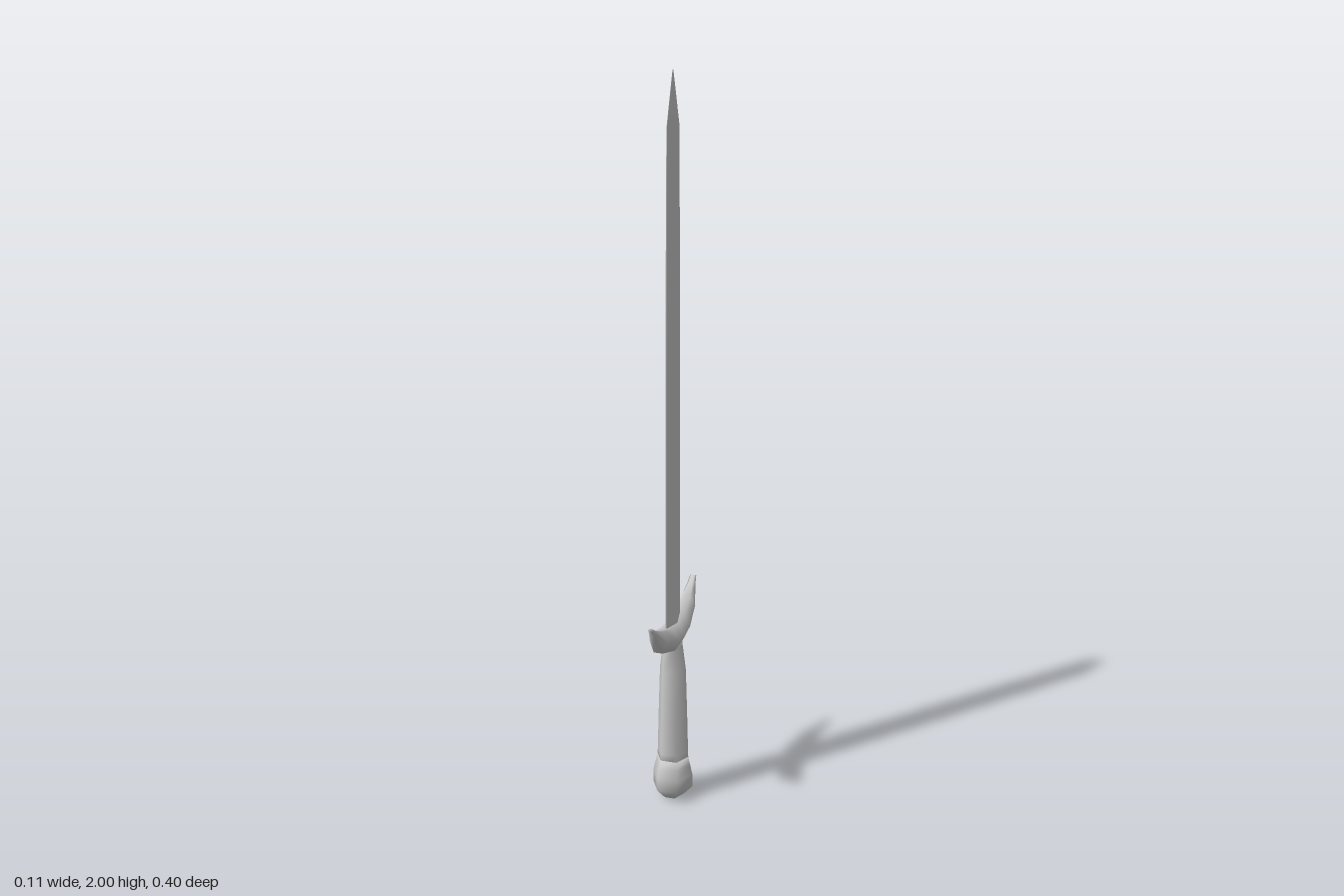
import * as THREE from 'three';

const material = new THREE.MeshStandardMaterial({ color: 0xcccccc });

// Skin a list of equal-sized rings (counter-clockwise seen from the far end) and cap both ends.
function loft(name, rings) {
  const n = rings[0].length;
  const points = rings.flat();
  const index = [];
  for (let r = 0; r < rings.length - 1; r++) {
    for (let i = 0; i < n; i++) {
      const a = r * n + i, b = r * n + (i + 1) % n;
      index.push(a, b, b + n, a, b + n, a + n);
    }
  }
  const last = (rings.length - 1) * n;
  for (let i = 1; i < n - 1; i++) {
    index.push(0, i + 1, i, last, last + i, last + i + 1);
  }
  const geometry = new THREE.BufferGeometry().setFromPoints(points);
  geometry.setIndex(index);
  geometry.computeVertexNormals();
  const mesh = new THREE.Mesh(geometry, material);
  mesh.name = name;
  return mesh;
}

// Six-sided horizontal ring with corners on the x axis.
function hexRing(y, rx, rz) {
  return Array.from({ length: 6 }, (_, i) => {
    const a = -i * Math.PI / 3;
    return new THREE.Vector3(rx * Math.cos(a), y, rz * Math.sin(a) / 0.866);
  });
}

// Slim horizontal blade ring: central ridges and narrow cutting edges.
function bladeRing(y, thick, wide) {
  const edge = thick * 0.15;
  return [[thick, 0], [edge, -wide], [-edge, -wide], [-thick, 0], [-edge, wide], [edge, wide]]
    .map(([x, z]) => new THREE.Vector3(x, y, z));
}

// Six-sided guard ring spanning a lower point and an upper point in the yz plane.
function guardRing([z0, y0, z1, y1, halfWidth]) {
  return [[1, 0.5], [0.5, 1], [-0.5, 1], [-1, 0.5], [-0.5, 0], [0.5, 0]].map(([s, t]) =>
    new THREE.Vector3(s * halfWidth, y0 + (y1 - y0) * t, z0 + (z1 - z0) * t));
}

export function createModel() {
  const sword = new THREE.Group();
  sword.name = 'sword';

  // Blade: y, half thickness, half width
  sword.add(loft('blade', [
    [0.49, 0.013, 0.063], [1.2, 0.012, 0.06], [1.6, 0.011, 0.056],
    [1.865, 0.006, 0.052], [1.97, 0.003, 0.014], [2.0, 0.001, 0.003],
  ].map(p => bladeRing(...p))));

  // Grip: y, half depth along x, half width along z
  sword.add(loft('grip', [
    [0.09, 0.046, 0.041], [0.14, 0.044, 0.039], [0.26, 0.041, 0.039],
    [0.39, 0.037, 0.038], [0.46, 0.028, 0.037], [0.5, 0.028, 0.036],
  ].map(p => hexRing(...p))));

  // Pommel
  sword.add(loft('pommel', [
    [0, 0.024, 0.025], [0.008, 0.034, 0.034], [0.033, 0.057, 0.054],
    [0.07, 0.057, 0.054], [0.1, 0.05, 0.049], [0.125, 0.044, 0.038],
  ].map(p => hexRing(...p))));

  // Crossguard: one arm's sections (lower z, y, upper z, y, half width), mirrored to the other side
  const arm = [
    [0.04, 0.46, 0.06, 0.532, 0.034],
    [0.135, 0.493, 0.125, 0.552, 0.025],
    [0.185, 0.562, 0.172, 0.573, 0.012],
    [0.2, 0.583, 0.195, 0.588, 0.009],
  ];
  const mirrored = arm.map(([z0, y0, z1, y1, w]) => [-z0, y0, -z1, y1, w]).reverse();
  const middle = [0, 0.455, 0, 0.525, 0.035];
  sword.add(loft('crossguard', [...mirrored, middle, ...arm].map(guardRing)));

  return sword;
}
